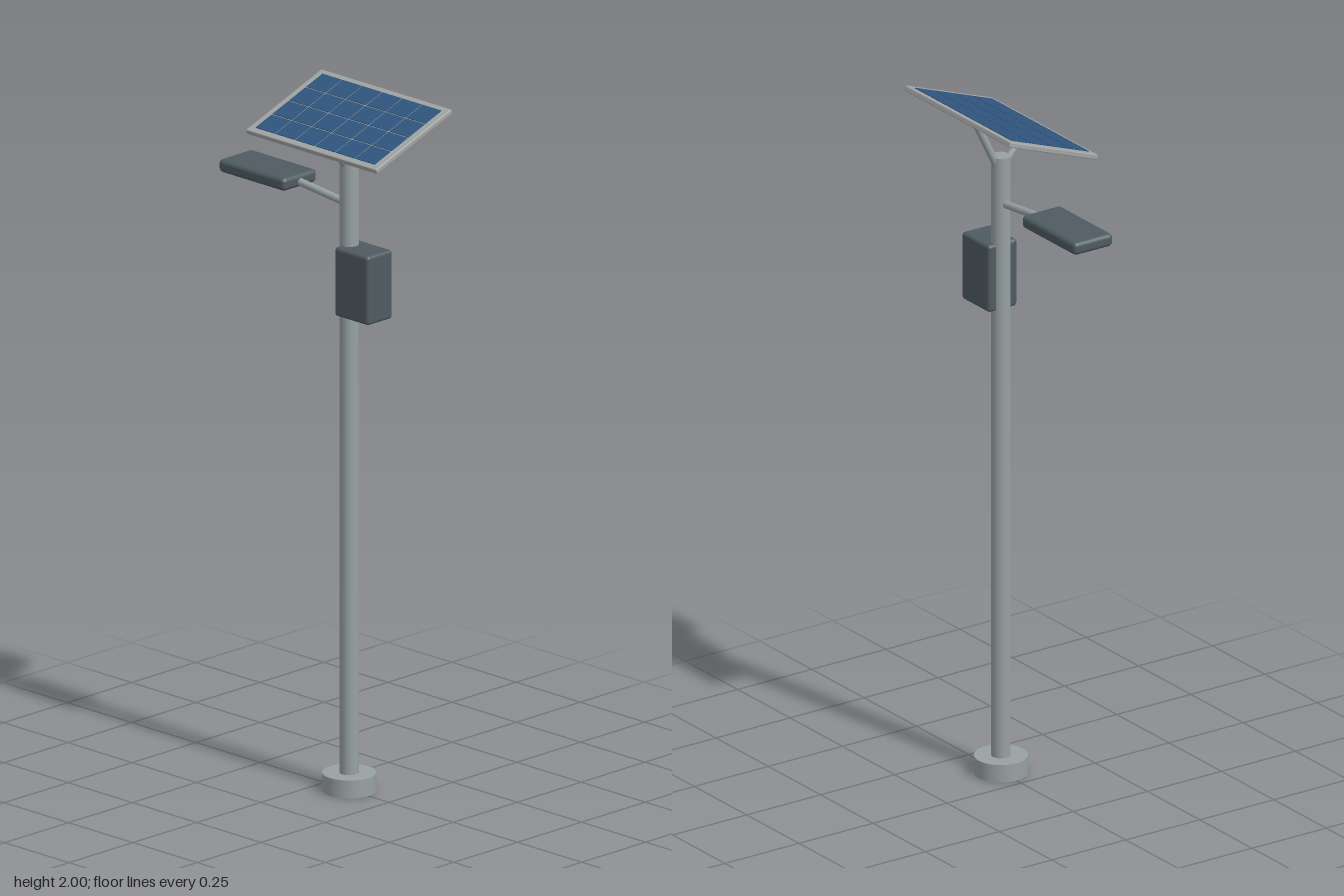
import * as THREE from 'three';
import { RoundedBoxGeometry } from 'three/addons/geometries/RoundedBoxGeometry.js';

const material = (name, color) => {
  const m = new THREE.MeshStandardMaterial({ color });
  m.name = name;
  return m;
};

export function createModel() {
  const steel = material('galvanised steel', 0x98a1a3);
  const aluminium = material('aluminium frame', 0xa0a4a2);
  const housing = material('dark housing', 0x4f5b61);
  const cellBlue = material('solar cell blue', 0x30557f);
  const lens = material('warm lens', 0xe6dcc4);

  const model = new THREE.Group();
  model.name = 'solarStreetLight';
  const poleX = 0.096;

  const add = (name, geometry, mat, x, y, z, parent = model) => {
    const mesh = new THREE.Mesh(geometry, mat);
    mesh.name = name;
    mesh.position.set(x, y, z);
    parent.add(mesh);
    return mesh;
  };

  // Round bar between two points
  const bar = (name, from, to, radius) => {
    const a = new THREE.Vector3(...from);
    const b = new THREE.Vector3(...to);
    const dir = b.clone().sub(a);
    const mid = a.clone().add(b).multiplyScalar(0.5);
    const mesh = add(name, new THREE.CylinderGeometry(radius, radius, dir.length(), 20), steel, mid.x, mid.y, mid.z);
    mesh.quaternion.setFromUnitVectors(new THREE.Vector3(0, 1, 0), dir.normalize());
  };

  // Base and pole
  add('base', new THREE.CylinderGeometry(0.075, 0.075, 0.052, 40), steel, poleX, 0.026, 0);
  add('pole', new THREE.CylinderGeometry(0.027, 0.027, 1.8, 32), steel, poleX, 0.942, 0);

  // Battery box on the pole's left side
  add('batteryBox', new RoundedBoxGeometry(0.132, 0.2, 0.098, 3, 0.01), housing, 0.151, 1.485, 0);

  // Lamp arm, head and lens
  bar('lampArm', [poleX, 1.701, 0], [-0.13, 1.725, 0], 0.011);
  add('lampHead', new RoundedBoxGeometry(0.257, 0.038, 0.132, 4, 0.013), housing, -0.2215, 1.725, 0);
  add('lampLens', new RoundedBoxGeometry(0.21, 0.006, 0.1, 2, 0.002), lens, -0.2215, 1.7055, 0);

  // Forked panel supports
  bar('frontStrut', [poleX, 1.815, 0.012], [poleX, 1.908, 0.092], 0.011);
  bar('rearStrut', [poleX, 1.815, -0.014], [poleX, 1.968, -0.09], 0.011);

  // Tilted panel, low edge to the front
  const panel = new THREE.Group();
  panel.name = 'solarPanel';
  panel.position.set(poleX, 1.94, 0);
  panel.rotation.x = THREE.MathUtils.degToRad(20);
  model.add(panel);
  add('panelFrame', new RoundedBoxGeometry(0.507, 0.015, 0.315, 2, 0.003), aluminium, 0, 0, 0, panel);

  // Six by four cells
  const cell = new THREE.BoxGeometry(0.0735, 0.004, 0.0665);
  for (let col = 0; col < 6; col++) {
    for (let row = 0; row < 4; row++) {
      add('solarCell', cell, cellBlue, (col - 2.5) * 0.0777, 0.0075, (row - 1.5) * 0.0705, panel);
    }
  }
  return model;
}
